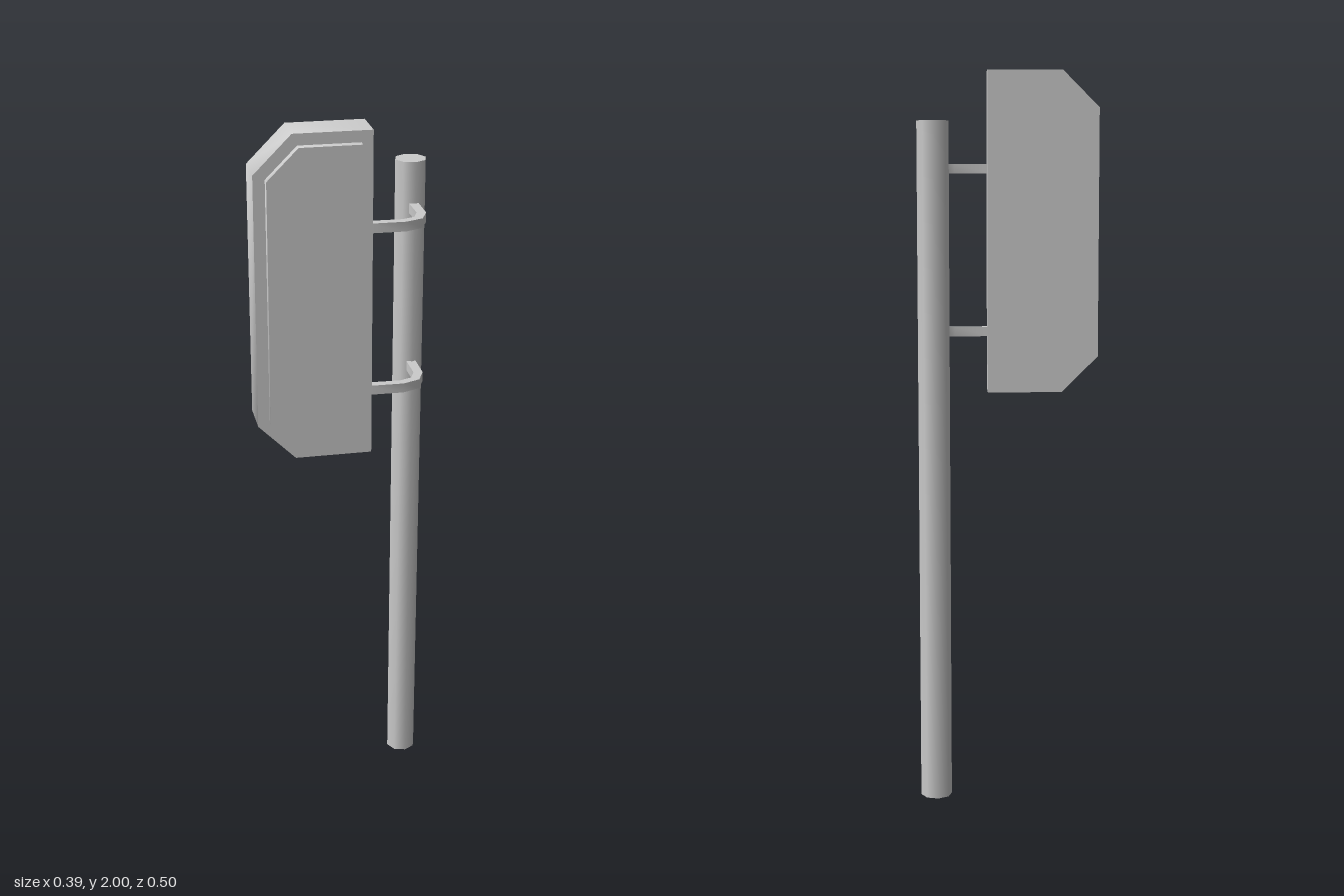
import * as THREE from 'three';
import { toCreasedNormals } from 'three/addons/utils/BufferGeometryUtils.js';

const material = new THREE.MeshStandardMaterial({ color: 0xcccccc });

function addMesh(parent, name, geometry) {
  const mesh = new THREE.Mesh(geometry, material);
  mesh.name = name;
  parent.add(mesh);
  return mesh;
}

function extrude(points, depth) {
  const shape = new THREE.Shape(points.map(([x, y]) => new THREE.Vector2(x, y)));
  return new THREE.ExtrudeGeometry(shape, { depth, bevelEnabled: false });
}

// Upright slab with both corners cut on its -x side
function cutSlab(halfWidth, halfHeight, cut, depth) {
  const w = halfWidth, h = halfHeight;
  const geometry = extrude([
    [w, -h], [w, h], [-w + cut, h], [-w, h - cut], [-w, -h + cut], [-w + cut, -h],
  ], depth);
  return toCreasedNormals(geometry, 0.9);
}

export function createModel() {
  const model = new THREE.Group();
  model.name = 'signPost';

  // Eight-sided pole
  const pole = addMesh(model, 'pole', new THREE.CylinderGeometry(0.043, 0.043, 1.86, 8));
  pole.position.set(0.092, 0.93, -0.208);

  // Sign box with raised front panel, turned to the side
  const sign = new THREE.Group();
  sign.name = 'sign';
  sign.position.set(-0.041, 1.56, 0.1105);
  sign.rotation.y = 0.665;
  model.add(sign);
  addMesh(sign, 'signBox', cutSlab(0.153, 0.44, 0.1, 0.11)).position.z = -0.055;
  addMesh(sign, 'frontPanel', cutSlab(0.122, 0.41, 0.082, 0.024)).position.z = 0.054;

  // Two bent brackets joining pole and sign, outlined as [x, -z]
  const outer = [[0.117, 0.2], [0.18, 0.12], [0.193, 0.07], [0.168, 0.025], [0.086, -0.037]];
  const inner = [[0.071, -0.018], [0.15, 0.04], [0.168, 0.072], [0.158, 0.108], [0.097, 0.184]];
  for (const [name, y] of [['upperBracket', 1.735], ['lowerBracket', 1.285]]) {
    const geometry = extrude([...outer, ...inner], 0.026);
    geometry.rotateX(-Math.PI / 2);
    addMesh(model, name, toCreasedNormals(geometry, 0.9)).position.y = y - 0.013;
  }

  return model;
}
